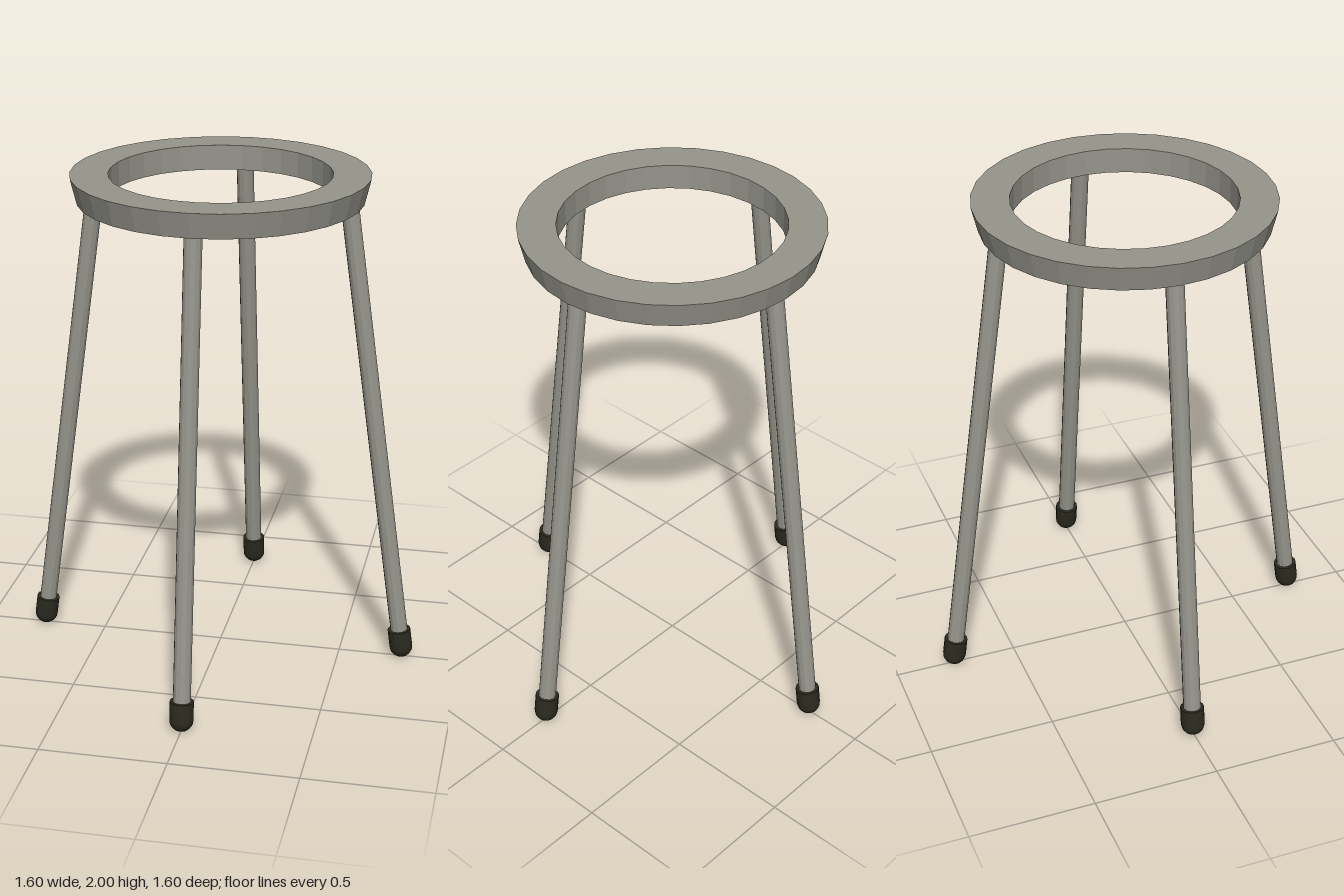
import * as THREE from 'three';
import { toCreasedNormals } from 'three/addons/utils/BufferGeometryUtils.js';

const metal = new THREE.MeshStandardMaterial({ color: 0x96958c });
metal.name = 'grey metal';
const rubber = new THREE.MeshStandardMaterial({ color: 0x2b2b20 });
rubber.name = 'dark rubber';

const lathe = (points, sides) =>
  new THREE.LatheGeometry(points.map(([r, y]) => new THREE.Vector2(r, y)), sides);

function part(name, geometry, material) {
  const mesh = new THREE.Mesh(geometry, material);
  mesh.name = name;
  return mesh;
}

export function createModel() {
  const model = new THREE.Group();
  model.name = 'stool';

  // Faceted seat ring, wider at the top, with a straight inner wall
  const ring = lathe([[0.43, 1.9], [0.553, 1.9], [0.577, 2], [0.43, 2], [0.43, 1.9]], 32);
  model.add(part('seatRing', toCreasedNormals(ring, 0.1), metal));

  // Splayed leg axis from the foot centre up into the ring
  const bottom = new THREE.Vector3(0.755, 0.047, 0);
  const top = new THREE.Vector3(0.491, 1.95, 0);
  const length = bottom.distanceTo(top);
  const tilt = Math.atan2(bottom.x - top.x, top.y - bottom.y);

  const tube = new THREE.CylinderGeometry(0.035, 0.035, length, 12);
  tube.translate(0, length / 2, 0);
  const tubeGeometry = toCreasedNormals(tube, 0.3);

  // Rubber foot: round bottom, straight sleeve, rim closing on the tube
  const r = 0.047;
  const profile = [];
  for (let i = 0; i <= 6; i++) {
    const a = (i / 6) * Math.PI / 2;
    profile.push([r * Math.sin(a), -r * Math.cos(a)]);
  }
  profile.push([r, 0.075], [0.03, 0.075]);
  const footGeometry = toCreasedNormals(lathe(profile, 16), 0.8);

  // Four legs, on the x and z axes
  for (let i = 0; i < 4; i++) {
    const leg = new THREE.Group();
    leg.name = 'leg' + (i + 1);
    const slanted = new THREE.Group();
    slanted.name = 'slantedLeg';
    slanted.position.copy(bottom);
    slanted.rotation.z = tilt;
    slanted.add(part('legTube', tubeGeometry, metal), part('rubberFoot', footGeometry, rubber));
    leg.add(slanted);
    leg.rotation.y = i * Math.PI / 2;
    model.add(leg);
  }
  return model;
}
